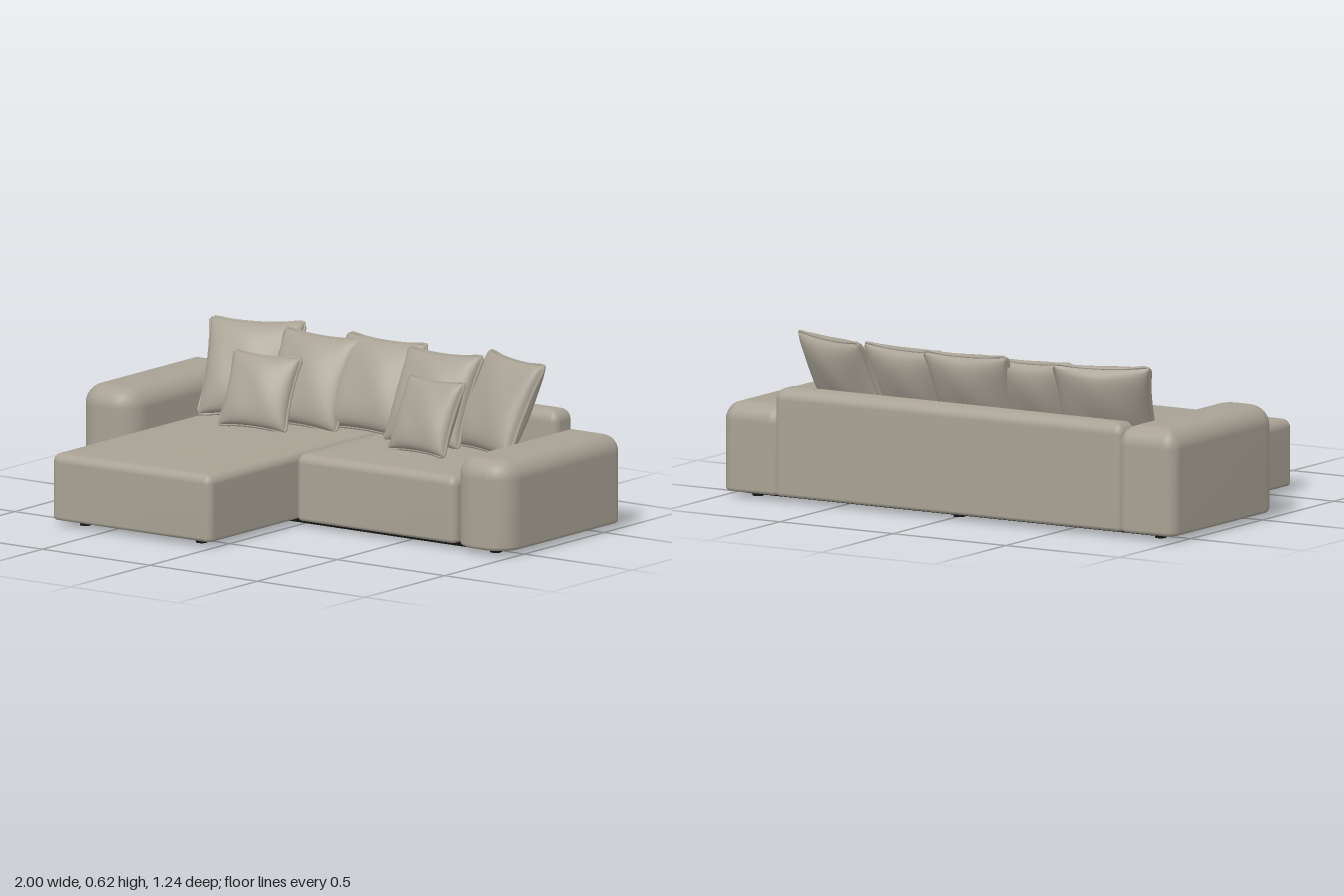
import * as THREE from 'three';
import { mergeGeometries } from 'three/addons/utils/BufferGeometryUtils.js';

// Rounded-rectangle loop in x/z, with separate front and back corner radii
function roundedLoop(hw, hd, frontR, backR, steps = 6) {
  const pts = [];
  const corners = [[1, 1, frontR], [-1, 1, frontR], [-1, -1, backR], [1, -1, backR]];
  corners.forEach(([sx, sz, radius], i) => {
    const r = Math.max(radius, 0.004);
    for (let k = 0; k <= steps; k++) {
      const a = (i + k / steps) * Math.PI / 2;
      pts.push([sx * (hw - r) + r * Math.cos(a), sz * (hd - r) + r * Math.sin(a)]);
    }
  });
  return pts;
}

// Upholstered block: stacked loops with a soft top edge and a slightly crowned top
function softBlock({ x, z, y, top, bottom = 0.014, frontR, backR, crown = 0 }) {
  const cx = (x[0] + x[1]) / 2, cz = (z[0] + z[1]) / 2;
  const hw = (x[1] - x[0]) / 2, hd = (z[1] - z[0]) / 2;
  const rings = [];
  const addRing = (inset, height) => rings.push(
    roundedLoop(hw - inset, hd - inset, frontR - inset, backR - inset).map(p => [p[0], height, p[1]]));
  for (let k = 0; k <= 3; k++) {
    const a = k / 3 * Math.PI / 2;
    addRing(bottom * (1 - Math.sin(a)), y[0] + bottom * (1 - Math.cos(a)));
  }
  for (let k = 0; k <= 7; k++) {
    const a = k / 7 * Math.PI / 2;
    addRing(top * (1 - Math.cos(a)), y[1] - top * (1 - Math.sin(a)));
  }
  const rim = rings[rings.length - 1];
  for (const s of [0.85, 0.6, 0.3]) {
    rings.push(rim.map(p => [p[0] * s, y[1] + crown * (1 - s * s), p[2] * s]));
  }
  const n = rim.length, index = [];
  const position = rings.flat().flatMap(p => [p[0] + cx, p[1], p[2] + cz]);
  position.push(cx, y[0], cz, cx, y[1] + crown, cz);
  const low = rings.length * n, high = low + 1, last = (rings.length - 1) * n;
  for (let i = 0; i < n; i++) {
    const j = (i + 1) % n;
    for (let r = 0; r < rings.length - 1; r++) {
      const a = r * n + i, b = r * n + j;
      index.push(a, a + n, b, b, a + n, b + n);
    }
    index.push(low, i, j, high, last + j, last + i);
  }
  const geo = new THREE.BufferGeometry();
  geo.setAttribute('position', new THREE.Float32BufferAttribute(position, 3));
  geo.setIndex(index);
  geo.computeVertexNormals();
  return geo;
}

// Pillow outline: the sides pull in between the four corners
const pinch = (u, v, w, h) => [
  u * w / 2 * (1 - 0.07 * (1 - v * v)),
  v * h / 2 * (1 - 0.07 * (1 - u * u))];

// Two bulging sheets joined along the seam
function pillowBody(w, h, thick) {
  const sheet = new THREE.PlaneGeometry(2, 2, 18, 18);
  const p = sheet.attributes.position;
  for (let i = 0; i < p.count; i++) {
    const u = Math.sin(p.getX(i) * Math.PI / 2), v = Math.sin(p.getY(i) * Math.PI / 2);
    const fill = Math.max(0, (1 - u * u) * (1 - v * v));
    const fold = 1 + 0.05 * Math.sin(5 * u + 3 * v);
    const [x, y] = pinch(u, v, w, h);
    p.setXYZ(i, x, y, thick / 2 * Math.pow(fill, 0.36) * fold);
  }
  sheet.computeVertexNormals();
  return mergeGeometries([sheet, sheet.clone().rotateY(Math.PI)]);
}

// Corded seam around the pillow
function pillowPiping(w, h, radius) {
  const pts = [];
  const sides = [t => [t, -1], t => [1, t], t => [-t, 1], t => [-1, -t]];
  for (const side of sides) {
    for (const t of [-0.96, -0.5, 0, 0.5, 0.96]) {
      const [u, v] = side(t);
      pts.push(new THREE.Vector3(...pinch(u, v, w, h), 0));
    }
  }
  return new THREE.TubeGeometry(new THREE.CatmullRomCurve3(pts, true), 64, radius, 6, true);
}

export function createModel() {
  const fabric = new THREE.MeshStandardMaterial({ color: 0xa8a194 });
  fabric.name = 'warm grey fabric';
  const black = new THREE.MeshStandardMaterial({ color: 0x111111 });
  black.name = 'black base';

  const model = new THREE.Group();
  model.name = 'cornerSofa';
  const add = (name, geo, mat, parent = model) => {
    const mesh = new THREE.Mesh(geo, mat);
    mesh.name = name;
    parent.add(mesh);
    return mesh;
  };

  // Arms (one taller), backrest and the two seats
  const arm = { z: [-0.623, 0.121], frontR: 0.1, backR: 0.05 };
  add('rightArm', softBlock({ ...arm, x: [-1, -0.745], y: [0.02, 0.424], top: 0.075 }), fabric);
  add('leftArm', softBlock({ ...arm, x: [0.742, 1], y: [0.02, 0.36], top: 0.07 }), fabric);
  add('backrest', softBlock({
    x: [-0.77, 0.768], z: [-0.623, -0.51], y: [0.02, 0.43], top: 0.045, frontR: 0.03, backR: 0.03, crown: 0.003
  }), fabric);
  const seat = { y: [0.02, 0.275], top: 0.035, frontR: 0.03, backR: 0.02, crown: 0.009 };
  add('chaiseSeat', softBlock({ ...seat, x: [-0.744, -0.004], z: [-0.515, 0.62] }), fabric);
  add('shortSeat', softBlock({ ...seat, x: [0.0, 0.742], z: [-0.515, 0.09] }), fabric);

  // Black L-shaped underside and low feet
  const outline = new THREE.Shape([
    [-0.92, 0.56], [0.92, 0.56], [0.92, -0.06], [-0.06, -0.06],
    [-0.06, -0.56], [-0.68, -0.56], [-0.68, -0.06], [-0.92, -0.06]
  ].map(p => new THREE.Vector2(...p)));
  const slab = new THREE.ExtrudeGeometry(outline, { depth: 0.014, bevelEnabled: false });
  add('base', slab.rotateX(-Math.PI / 2).translate(0, 0.009, 0), black);
  const feet = [
    [-0.64, 0.54], [-0.1, 0.54], [-0.89, 0.03], [-0.1, 0.03], [0, 0], [0.89, 0.03],
    [-0.89, -0.535], [0, -0.535], [0.89, -0.535]];
  for (const [x, z] of feet) {
    add('foot', new THREE.CylinderGeometry(0.022, 0.022, 0.012, 12).translate(x, 0.006, z), black);
  }

  // Pillows lean back and turn towards the middle
  const addPillow = (name, w, h, thick, pos, yaw, lean, roll = 0) => {
    const pillow = new THREE.Group();
    pillow.name = name;
    pillow.position.set(...pos);
    pillow.rotation.set(-lean, yaw, roll, 'YXZ');
    add('pillowBody', pillowBody(w, h, thick), fabric, pillow);
    add('pillowPiping', pillowPiping(w, h, 0.006), fabric, pillow);
    model.add(pillow);
  };
  addPillow('middleBackCushion', 0.36, 0.37, 0.14, [-0.015, 0.448, -0.435], 0.04, 0.46, -0.02);
  for (const s of [-1, 1]) {
    addPillow('innerBackCushion', 0.35, 0.37, 0.14, [s * 0.285, 0.44, -0.395], -s * 0.03, 0.46, s * 0.02);
    addPillow('outerBackCushion', 0.37, 0.38, 0.14, [s * 0.575, 0.448, -0.415], -s * 0.34, 0.46);
    addPillow('scatterPillow', 0.285, 0.29, 0.11, [s * 0.388, 0.415, -0.215], -s * 0.14, 0.43, s * 0.02);
  }
  return model;
}
